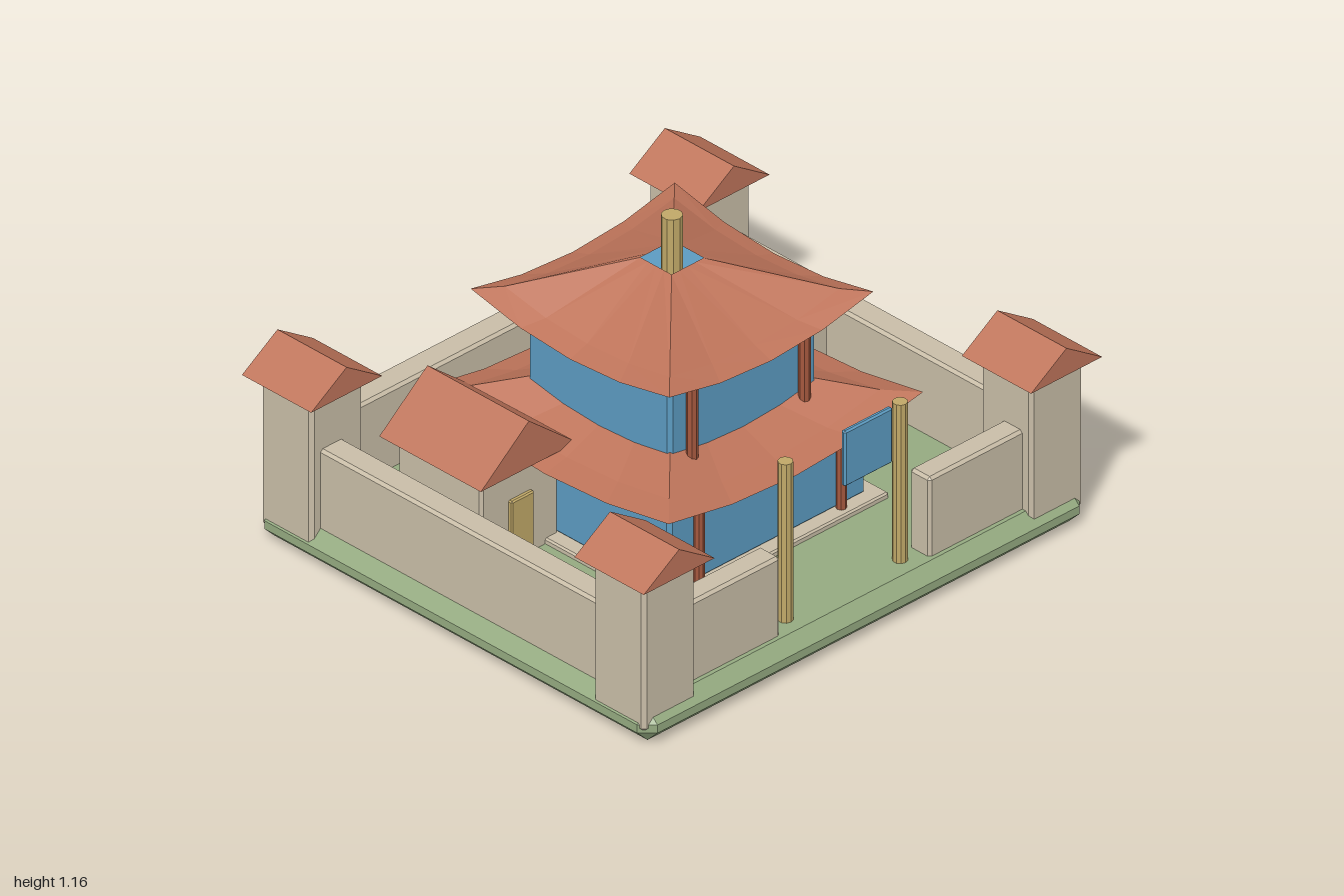
import * as THREE from 'three';
import { ConvexGeometry } from 'three/addons/geometries/ConvexGeometry.js';

const mat = (name, color, extra = {}) => {
  const m = new THREE.MeshStandardMaterial({ color, ...extra });
  m.name = name;
  return m;
};

export function createModel() {
  const grass = mat('grass', 0x94aa80);
  const stone = mat('stone', 0xc8bda7);
  const blue = mat('blueWall', 0x5c9bc1);
  const tile = mat('roofTile', 0xbe745a);
  const tileShell = mat('roofTileShell', 0xbe745a, { side: THREE.DoubleSide });
  const gold = mat('gold', 0xc0a868);
  const red = mat('redTimber', 0xa4583e);

  const model = new THREE.Group();
  model.name = 'walledPagoda';

  const add = (name, geometry, material) => {
    const mesh = new THREE.Mesh(geometry, material);
    mesh.name = name;
    model.add(mesh);
    return mesh;
  };

  // Box between two corners, all edges chamfered by c
  const block = (name, material, [x0, x1], [y0, y1], [z0, z1], c = 0.01) => {
    const half = [(x1 - x0) / 2, (y1 - y0) / 2, (z1 - z0) / 2];
    const points = [];
    for (const sx of [-1, 1]) for (const sy of [-1, 1]) for (const sz of [-1, 1]) {
      const sign = [sx, sy, sz];
      for (let axis = 0; axis < 3; axis++) {
        points.push(new THREE.Vector3(...sign.map((s, i) => s * (half[i] - (i === axis ? 0 : c)))));
      }
    }
    add(name, new ConvexGeometry(points), material)
      .position.set((x0 + x1) / 2, (y0 + y1) / 2, (z0 + z1) / 2);
  };

  const post = (name, material, x, z, y0, y1, r, sides = 10) => {
    const g = new THREE.CylinderGeometry(r, r, y1 - y0, sides).toNonIndexed();
    g.computeVertexNormals();
    add(name, g, material).position.set(x, (y0 + y1) / 2, z);
  };

  // Solid gable roof with its ridge along z
  const gable = (name, x, halfWidth, y0, y1, z0, z1) => {
    const s = new THREE.Shape();
    s.moveTo(-halfWidth, y0);
    s.lineTo(halfWidth, y0);
    s.lineTo(0, y1);
    const g = new THREE.ExtrudeGeometry(s, { depth: z1 - z0, bevelEnabled: false });
    add(name, g, tile).position.set(x, 0, z0);
  };

  // Open four-sided roof shell; rings are [radius, height at middle, lift at corner]
  const sweptRoof = (name, rings) => {
    const pos = [];
    const steps = 4;
    const point = ([r, y, lift], s, side) =>
      new THREE.Vector3(s * r, y + lift * s * s, r)
        .applyAxisAngle(new THREE.Vector3(0, 1, 0), side * Math.PI / 2);
    for (let side = 0; side < 4; side++) {
      for (let k = 0; k < rings.length - 1; k++) {
        for (let i = 0; i < steps; i++) {
          const s0 = -1 + 2 * i / steps, s1 = -1 + 2 * (i + 1) / steps;
          const a = point(rings[k], s0, side), b = point(rings[k], s1, side);
          const c = point(rings[k + 1], s0, side), d = point(rings[k + 1], s1, side);
          for (const p of [c, d, a, d, b, a]) pos.push(p.x, p.y, p.z);
        }
      }
    }
    const g = new THREE.BufferGeometry();
    g.setAttribute('position', new THREE.Float32BufferAttribute(pos, 3));
    g.computeVertexNormals();
    add(name, g, tileShell);
  };

  const span = (sx, a, b) => (sx > 0 ? [a, b] : [-b, -a]);

  // Ground slab
  block('groundSlab', grass, [-0.965, 0.965], [0, 0.12], [-0.88, 0.88], 0.045);

  // Perimeter walls and corner towers
  block('backWall', stone, [-0.75, 0.75], [0.08, 0.41], [-0.83, -0.73]);
  for (const sx of [-1, 1]) {
    block('sideWall', stone, span(sx, 0.82, 0.92), [0.08, 0.41], [-0.65, 0.65]);
    block('frontWall', stone, span(sx, 0.325, 0.75), [0.08, 0.41], [0.73, 0.82]);
    for (const sz of [-1, 1]) {
      block('tower', stone, span(sx, 0.73, 0.96), [0.05, 0.61], span(sz, 0.63, 0.86), 0.013);
      gable('towerRoof', sx * 0.845, 0.155, 0.6, 0.7, sz * 0.745 - 0.155, sz * 0.745 + 0.155);
    }
  }

  // Side houses
  for (const sx of [-1, 1]) {
    block('sideHouse', stone, span(sx, 0.42, 0.76), [0.11, 0.475], [-0.45, -0.075]);
    gable('sideHouseRoof', sx * 0.59, 0.21, 0.47, 0.64, -0.49, -0.035);
    block('sideHouseDoor', gold, [sx * 0.59 - 0.05, sx * 0.59 + 0.05], [0.12, 0.35], [-0.08, -0.06], 0.005);
  }

  // Main hall: two storeys with swept roofs
  block('hallPlinth', stone, [-0.48, 0.48], [0.11, 0.14], [-0.48, 0.48], 0.006);
  block('lowerStorey', blue, [-0.43, 0.43], [0.135, 0.43], [-0.43, 0.43], 0.013);
  block('upperStorey', blue, [-0.32, 0.32], [0.42, 0.805], [-0.32, 0.32], 0.013);
  sweptRoof('lowerRoof', [[0.26, 0.545, 0.03], [0.46, 0.465, 0.053], [0.555, 0.445, 0.065]]);
  sweptRoof('upperRoof', [[0.07, 1.0, 0], [0.37, 0.845, 0.045], [0.445, 0.82, 0.06]]);
  post('finial', gold, 0, 0, 0.9, 1.16, 0.035);

  // Timber columns and gate poles
  for (const sx of [-1, 1]) {
    post('lowerColumn', red, sx * 0.31, 0.44, 0.13, 0.425, 0.018, 8);
    post('upperColumn', red, sx * 0.245, 0.342, 0.48, 0.79, 0.02, 8);
    post('gatePole', gold, sx * 0.25, 0.765, 0.11, 0.705, 0.025);
  }
  block('banner', blue, [0, 0.21], [0.5, 0.705], [0.755, 0.775], 0.006);

  return model;
}
